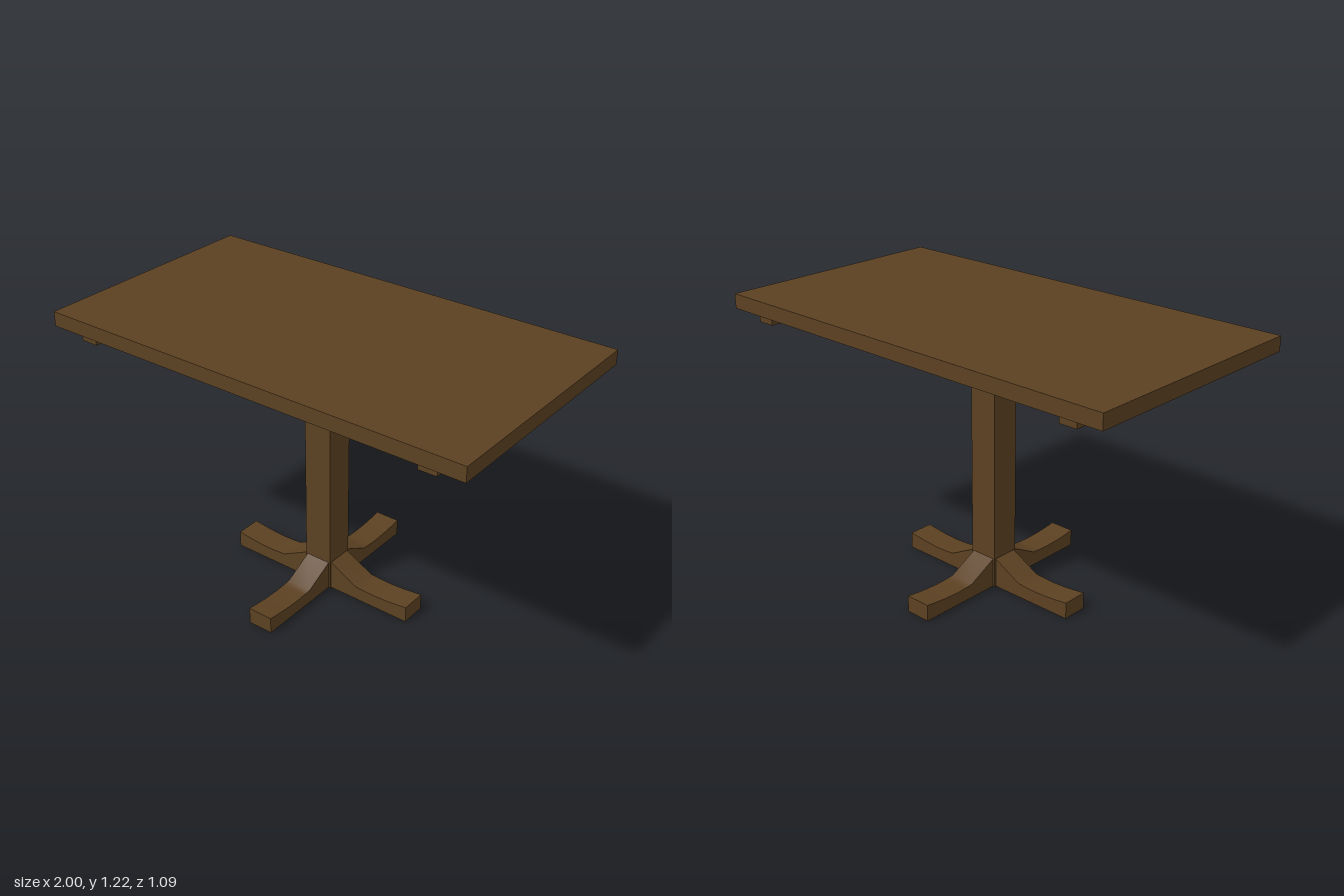
import * as THREE from 'three';
import { mergeGeometries } from 'three/addons/utils/BufferGeometryUtils.js';

const wood = new THREE.MeshStandardMaterial({ color: 0x5c4122, side: THREE.DoubleSide });
wood.name = 'dark wood';

function addPart(group, name, geometry, x = 0, y = 0, z = 0) {
  const mesh = new THREE.Mesh(geometry, wood);
  mesh.name = name;
  mesh.position.set(x, y, z);
  group.add(mesh);
  return mesh;
}

// Foot running along +x: curved top, two sides and an end, open underneath
function footGeometry() {
  const width = 0.116;
  const profile = [[0.066, 0.135], [0.2, 0.065], [0.24, 0.062], [0.29, 0.06], [0.36, 0.063], [0.41, 0.068], [0.465, 0.075]];
  const length = profile[profile.length - 1][0];
  const endHeight = profile[profile.length - 1][1];

  const top = new THREE.PlaneGeometry(1, width, profile.length - 1, 1).rotateX(-Math.PI / 2);
  const pos = top.attributes.position;
  for (let i = 0; i < pos.count; i++) {
    const [x, y] = profile[i % profile.length];
    pos.setX(i, x);
    pos.setY(i, y);
  }
  top.computeVertexNormals();

  const outline = new THREE.Shape([[profile[0][0], 0], [length, 0], ...profile.slice().reverse()]
    .map(([x, y]) => new THREE.Vector2(x, y)));
  const front = new THREE.ShapeGeometry(outline).translate(0, 0, width / 2);
  // The far side is the same outline turned over
  const back = new THREE.ShapeGeometry(outline).translate(0, 0, -width / 2);
  const index = back.index.array;
  for (let i = 0; i < index.length; i += 3) {
    [index[i], index[i + 1]] = [index[i + 1], index[i]];
  }
  back.computeVertexNormals();

  const end = new THREE.PlaneGeometry(width, endHeight).rotateY(Math.PI / 2).translate(length, endHeight / 2, 0);
  return mergeGeometries([top, front, back, end]);
}

export function createModel() {
  const table = new THREE.Group();
  table.name = 'pedestalTable';

  addPart(table, 'tabletop', new THREE.BoxGeometry(2, 0.065, 1.094), 0, 1.1825, 0);

  // Battens under both ends of the top
  for (const side of [-1, 1]) {
    addPart(table, side > 0 ? 'leftBatten' : 'rightBatten',
      new THREE.BoxGeometry(0.08, 0.038, 1.04), side * 0.83, 1.131, 0);
  }

  // Square post, open at both ends
  const post = new THREE.CylinderGeometry(0.066 * Math.SQRT2, 0.066 * Math.SQRT2, 1.15, 4, 1, true)
    .rotateY(Math.PI / 4).toNonIndexed();
  post.computeVertexNormals();
  addPart(table, 'post', post, 0, 0.575, 0);

  // Four feet in a cross
  const foot = footGeometry();
  ['leftFoot', 'backFoot', 'rightFoot', 'frontFoot'].forEach((name, i) => {
    addPart(table, name, foot).rotation.y = i * Math.PI / 2;
  });

  return table;
}
